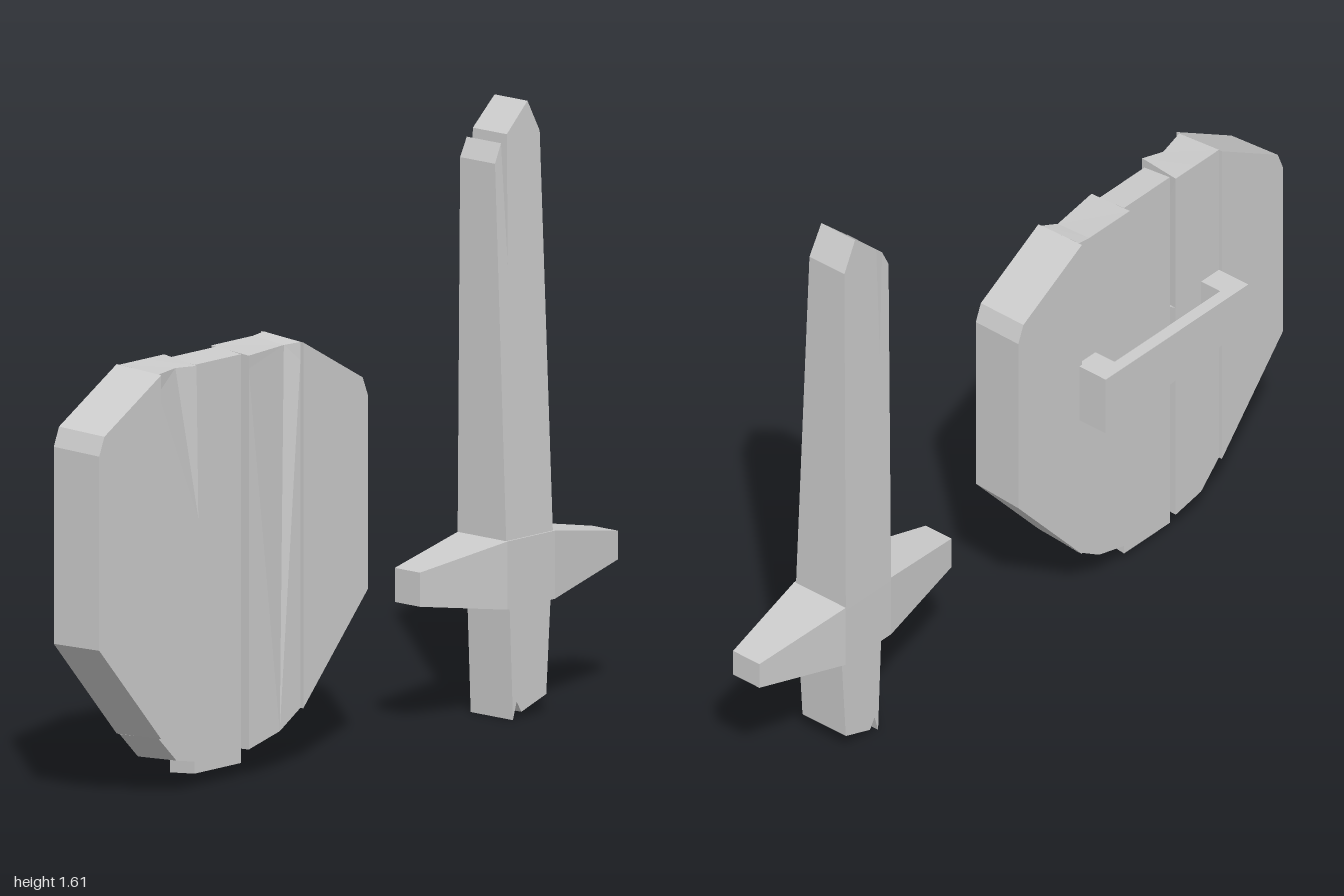
import * as THREE from 'three';

const material = new THREE.MeshStandardMaterial({ color: 0xcccccc, flatShading: true, side: THREE.DoubleSide });

// Flat slab: outline given as [z, y] points, spanning x = 0..1, then each vertex is placed by the rule.
function slab(name, outline, rule) {
  const shape = new THREE.Shape(outline.map(([z, y]) => new THREE.Vector2(-z, y)));
  const geo = new THREE.ExtrudeGeometry(shape, { depth: 1, bevelEnabled: false });
  geo.rotateY(Math.PI / 2);
  const pos = geo.attributes.position;
  const v = new THREE.Vector3();
  for (let i = 0; i < pos.count; i++) {
    v.fromBufferAttribute(pos, i);
    rule(v, v.x > 0.5);
    pos.setXYZ(i, v.x, v.y, v.z);
  }
  geo.computeVertexNormals();
  const mesh = new THREE.Mesh(geo, material);
  mesh.name = name;
  return mesh;
}

const lerp = THREE.MathUtils.lerp;

// Shield plank: outer face drawn in slightly so the rim is bevelled; optional chips.
function plank(name, outline, x0, x1, chip) {
  return slab(name, outline, (v, outer) => {
    v.x = outer ? x1 : x0;
    if (!outer) return;
    const { y, z } = v;
    v.z = 0.48 + (z - 0.48) * 0.985;
    v.y = 0.6 + (y - 0.6) * 0.985;
    if (chip) chip(v, y, z);
  });
}

function createShield() {
  const shield = new THREE.Group();
  shield.name = 'shield';
  shield.add(
    plank('frontOuterPlank',
      [[0.76, 0.155], [1, 0.43], [1, 0.95], [0.98, 1], [0.76, 1.13]], -0.045, 0.107),
    // split along the edge next to the middle plank
    plank('frontInnerPlank',
      [[0.59, 0.065], [0.69, 0.085], [0.76, 0.155], [0.76, 1.08], [0.76, 1.13], [0.67, 1.13],
        [0.59, 1.13], [0.59, 0.72], [0.59, 0.69]], -0.035, 0.097,
      (v, y, z) => {
        if (z < 0.6 && y > 0.7) v.z += y > 1 ? 0.022 : 0.015;
        if (z > 0.65 && z < 0.7 && y > 1.1) v.x = 0.075;
      }),
    plank('middlePlank',
      [[0.41, 0.03], [0.59, 0.03], [0.59, 1.125], [0.41, 1.125]], -0.015, 0.07),
    // worn upper edge
    plank('backInnerPlank',
      [[0.21, 0.15], [0.29, 0.1], [0.41, 0.07], [0.41, 1.09], [0.41, 1.125], [0.25, 1.125],
        [0.21, 1.13], [0.21, 1.08]], -0.035, 0.097,
      (v, y, z) => {
        if (z > 0.24 && z < 0.26 && y > 1.1) v.x = 0.075;
      }),
    plank('backOuterPlank',
      [[0.21, 0.15], [0.21, 1.13], [-0.02, 1], [-0.04, 0.95], [-0.04, 0.43]], -0.045, 0.107)
  );

  // Hand grip: a bar on two posts, its underside rising towards the front
  const handle = new THREE.Group();
  handle.name = 'shieldHandle';
  const under = (z) => lerp(0.58, 0.62, (z - 0.2) / 0.56);
  const bar = (name, z0, z1, x0, x1) => handle.add(slab(name,
    [[z0, under(z0)], [z1, under(z1)], [z1, 0.75], [z0, 0.75]],
    (v, outer) => { v.x = outer ? x1 : x0; }));
  bar('handleBar', 0.2, 0.76, -0.135, -0.1);
  bar('backPost', 0.2, 0.275, -0.1, -0.01);
  bar('frontPost', 0.69, 0.76, -0.1, -0.01);
  shield.add(handle);
  return shield;
}

function createSword() {
  const sword = new THREE.Group();
  sword.name = 'sword';

  // Blade thins towards the tip and has a narrow crack from the top
  sword.add(slab('blade',
    [[-0.54, 0.47], [-0.54, 1.47], [-0.565, 1.52], [-0.577, 1.2], [-0.588, 1.54],
      [-0.67, 1.615], [-0.713, 1.53], [-0.718, 0.47]],
    (v, outer) => {
      const t = (v.y - 0.48) / 1.14;
      v.x = outer ? lerp(0.125, 0.08, t) : lerp(-0.045, -0.035, t);
    }));

  // Crossguard: a block with two tapering arms
  const middle = [-0.045, 0.13];
  const arm = (name, zRoot, zEnd, y0, y1, end) => sword.add(slab(name,
    [[zRoot, 0.3], [zEnd, y0], [zEnd, y1], [zRoot, 0.48]],
    (v, outer) => {
      const side = outer ? 1 : 0;
      v.x = lerp(middle[side], end[side], (v.z - zRoot) / (zEnd - zRoot));
    }));
  arm('guardFrontArm', -0.54, -0.26, 0.345, 0.435, [-0.008, 0.08]);
  arm('guardBackArm', -0.72, -1, 0.355, 0.43, [0.005, 0.095]);
  arm('guardBlock', -0.54, -0.72, 0.3, 0.48, middle);

  // Grip with a chipped end
  sword.add(slab('grip',
    [[-0.555, 0.31], [-0.568, 0.003], [-0.582, 0.05], [-0.6, 0.02], [-0.695, 0.052], [-0.712, 0.31]],
    (v, outer) => { v.x = outer ? 0.123 : -0.025; }));
  return sword;
}

export function createModel() {
  const model = new THREE.Group();
  model.name = 'swordAndShield';
  model.add(createShield(), createSword());
  return model;
}
